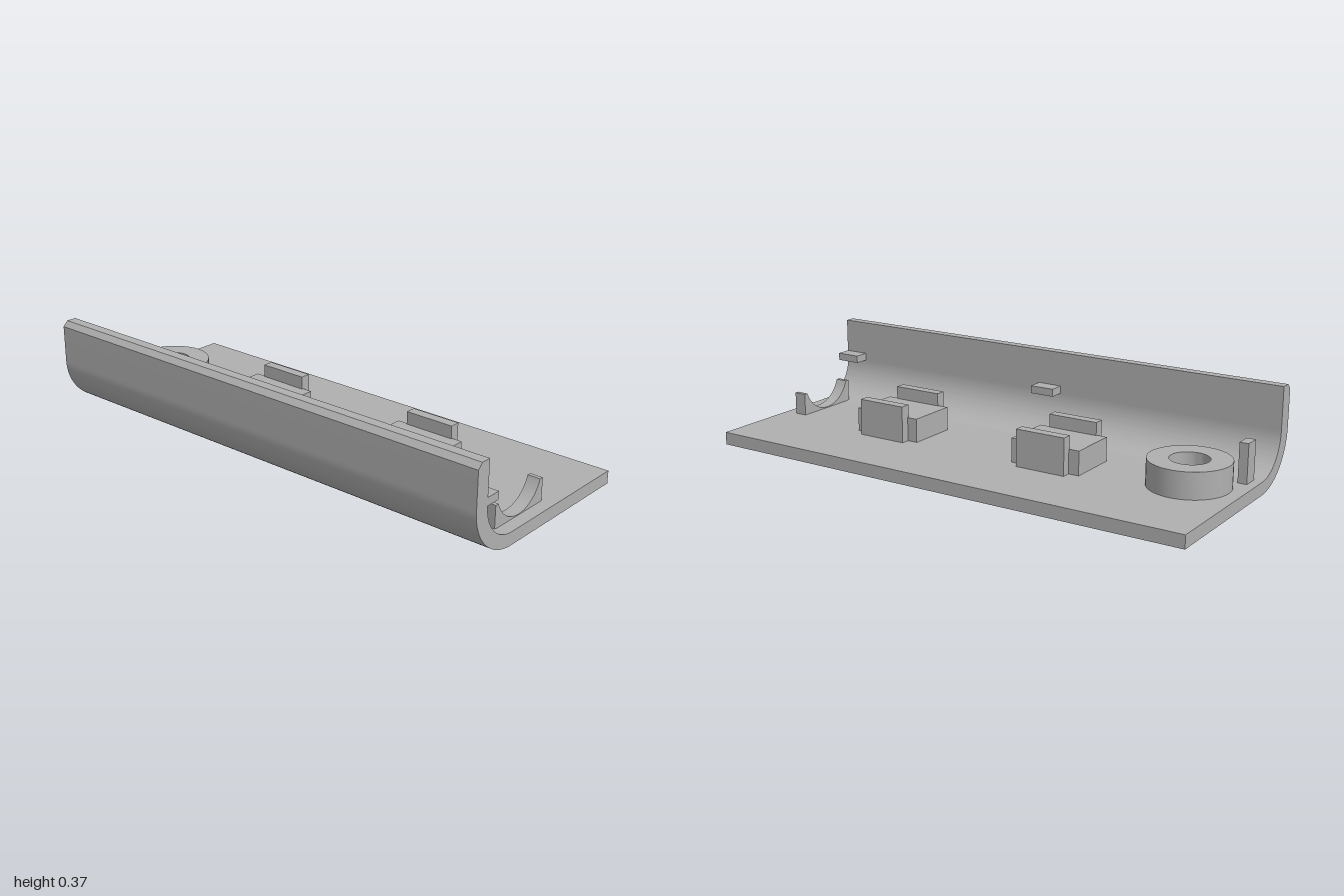
import * as THREE from 'three';
import { toCreasedNormals } from 'three/addons/utils/BufferGeometryUtils.js';

export function createModel() {
  const model = new THREE.Group();
  const grey = new THREE.MeshStandardMaterial({ color: 0xb0b0b0 });
  grey.name = 'plain grey';

  const FLOOR = 0.05;

  function add(name, geometry, parent = model) {
    const mesh = new THREE.Mesh(geometry, grey);
    mesh.name = name;
    parent.add(mesh);
    return mesh;
  }

  // Box given by its extents on each axis
  function box(name, [x0, x1], [y0, y1], [z0, z1], parent) {
    const mesh = add(name, new THREE.BoxGeometry(x1 - x0, y1 - y0, z1 - z0), parent);
    mesh.position.set((x0 + x1) / 2, (y0 + y1) / 2, (z0 + z1) / 2);
    return mesh;
  }

  // Profile in x and y, extruded along z
  function extrudeZ(shape, z0, z1) {
    const geometry = new THREE.ExtrudeGeometry(shape, { depth: z1 - z0, bevelEnabled: false, curveSegments: 32 });
    geometry.translate(0, 0, z0);
    return toCreasedNormals(geometry, 0.5);
  }

  // Upright wall with chamfered top, curving down into the floor
  const wall = new THREE.Shape();
  wall.moveTo(-0.2, 0);
  wall.lineTo(-0.2, FLOOR);
  wall.absarc(-0.2, 0.2, 0.15, Math.PI * 1.5, Math.PI, true);
  wall.lineTo(-0.35, 0.365);
  wall.lineTo(-0.39, 0.365);
  wall.lineTo(-0.41, 0.345);
  wall.lineTo(-0.41, 0.2);
  wall.absellipse(-0.2, 0.2, 0.21, 0.2, Math.PI, Math.PI * 1.5, false);
  add('curvedWall', extrudeZ(wall, -1, 1));

  // Flat floor with the hole under the boss
  const floor = new THREE.Shape();
  floor.moveTo(-0.2, -1);
  floor.lineTo(0.41, -1);
  floor.lineTo(0.41, 1);
  floor.lineTo(-0.2, 1);
  floor.closePath();
  const hole = new THREE.Path();
  hole.absarc(-0.025, 0.8, 0.118, 0, Math.PI * 2, true);
  floor.holes.push(hole);
  const floorGeometry = new THREE.ExtrudeGeometry(floor, { depth: FLOOR, bevelEnabled: false, curveSegments: 48 });
  floorGeometry.rotateX(-Math.PI / 2);
  add('floor', toCreasedNormals(floorGeometry, 0.5));

  // Screw boss, counterbored from below
  const bossProfile = [
    [0.152, FLOOR], [0.152, 0.15], [0.073, 0.15], [0.073, 0.1], [0.118, 0.1], [0.118, FLOOR],
  ].map(([r, y]) => new THREE.Vector2(r, y));
  const boss = add('screwBoss', toCreasedNormals(new THREE.LatheGeometry(bossProfile, 48), 0.5));
  boss.position.set(-0.025, 0, -0.8);

  // Two blocks, each between a pair of taller cheeks
  for (const z of [0.435, -0.285]) {
    const holder = new THREE.Group();
    holder.name = 'holder';
    holder.position.z = z;
    model.add(holder);
    box('holderBlock', [-0.103, 0.1], [FLOOR, 0.143], [-0.143, 0.143], holder);
    box('holderCheekRight', [-0.137, -0.097], [FLOOR, 0.193], [-0.101, 0.101], holder);
    box('holderCheekLeft', [0.094, 0.134], [FLOOR, 0.193], [-0.101, 0.101], holder);
  }

  // Round-bottomed cradle near the front edge
  const r = 0.131, cx = -0.088, cy = 0.184, top = 0.138;
  const a = Math.asin((cy - top) / r);
  const cradle = new THREE.Shape();
  cradle.moveTo(-0.227, FLOOR);
  cradle.lineTo(0.051, FLOOR);
  cradle.lineTo(0.051, top);
  cradle.lineTo(cx + r * Math.cos(a), top);
  cradle.absarc(cx, cy, r, -a, -Math.PI + a, true);
  cradle.lineTo(-0.227, top);
  cradle.closePath();
  add('cradle', extrudeZ(cradle, 0.9, 0.95));

  // Post beside the boss
  box('post', [-0.207, -0.145], [FLOOR, 0.2], [-0.965, -0.93]);

  // Small tabs on the inside of the wall
  for (const z of [0.9, -0.08]) box('wallTab', [-0.355, -0.29], [0.2, 0.23], [z, z + 0.1]);

  return model;
}
